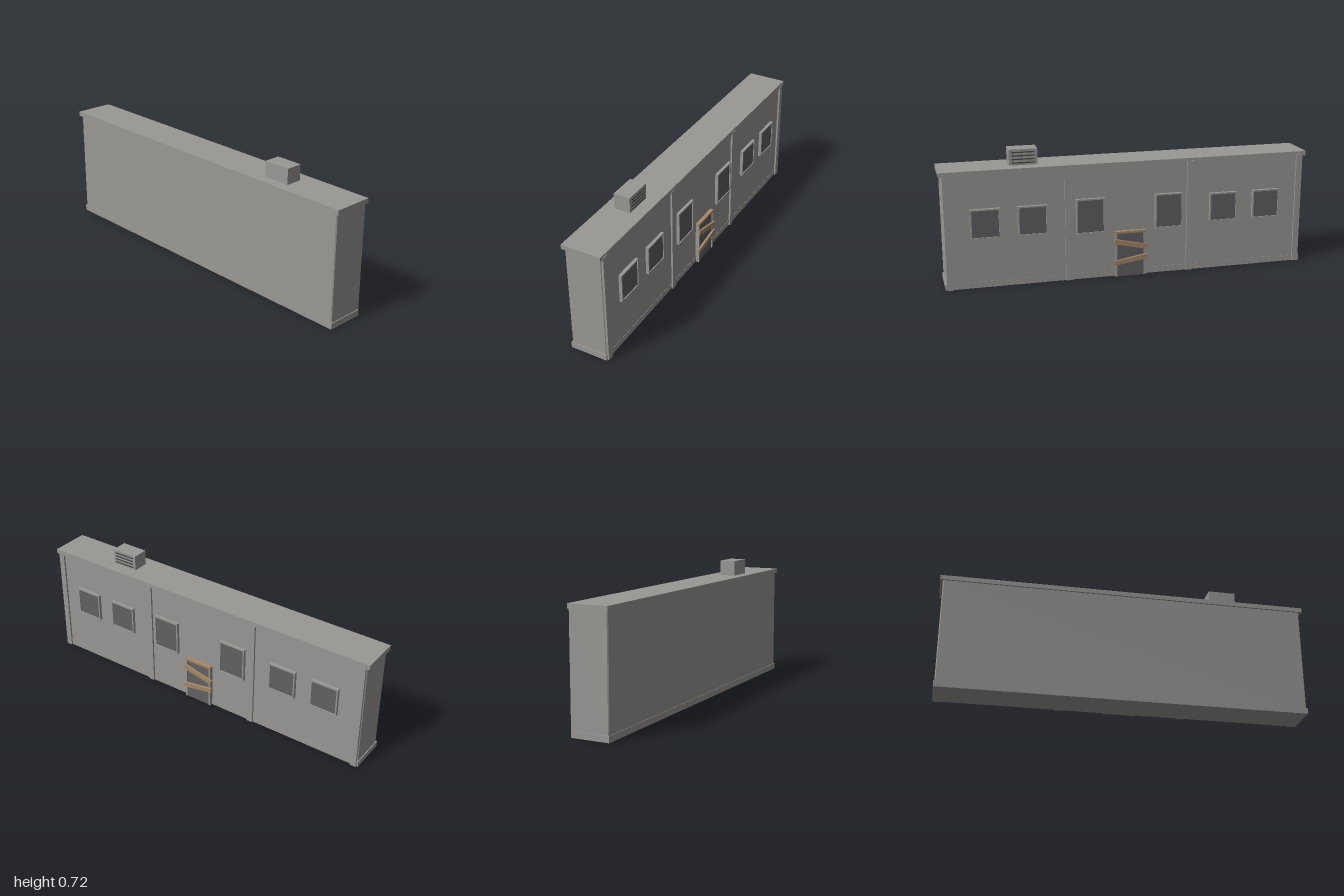
import * as THREE from 'three';

const mat = (name, color) => {
  const m = new THREE.MeshStandardMaterial({ color });
  m.name = name;
  return m;
};

export function createModel() {
  const group = new THREE.Group();
  const concrete = mat('concrete', 0x9a9895);
  const pane = mat('darkPane', 0x636062);
  const wood = mat('wood', 0xa5886a);
  const vent = mat('ventDark', 0x4a4846);

  const add = (name, geometry, material) => {
    const mesh = new THREE.Mesh(geometry, material);
    mesh.name = name;
    group.add(mesh);
    return mesh;
  };
  // box given by its min and max on each axis
  const box = (name, material, x0, x1, y0, y1, z0, z1) => {
    const mesh = add(name, new THREE.BoxGeometry(x1 - x0, y1 - y0, z1 - z0), material);
    mesh.position.set((x0 + x1) / 2, (y0 + y1) / 2, (z0 + z1) / 2);
    return mesh;
  };
  // rectangular frame with an opening, from z0 to z1
  const frame = (name, x0, x1, y0, y1, border, z0, z1) => {
    const rect = (Type, b) => new Type([
      new THREE.Vector2(x0 + b, y0 + b), new THREE.Vector2(x1 - b, y0 + b),
      new THREE.Vector2(x1 - b, y1 - b), new THREE.Vector2(x0 + b, y1 - b),
    ]);
    const shape = rect(THREE.Shape, 0);
    shape.holes.push(rect(THREE.Path, border));
    const geo = new THREE.ExtrudeGeometry(shape, { depth: z1 - z0, bevelEnabled: false });
    add(name, geo, concrete).position.z = z0;
  };

  // main block with slightly chamfered vertical corners
  const c = 0.005, w = 0.985, front = 0.11, back = -0.09;
  const plan = new THREE.Shape([
    [-w + c, -front], [w - c, -front], [w, -front + c], [w, -back - c],
    [w - c, -back], [-w + c, -back], [-w, -back - c], [-w, -front + c],
  ].map(([x, y]) => new THREE.Vector2(x, y)));
  const walls = new THREE.ExtrudeGeometry(plan, { depth: 0.61, bevelEnabled: false });
  walls.rotateX(-Math.PI / 2);
  add('walls', walls, concrete);

  box('plinth', concrete, -0.99, 0.99, 0, 0.033, -0.0915, 0.113);
  box('roofSlab', concrete, -1, 1, 0.607, 0.632, -0.097, 0.119);

  // pilasters dividing the back wall into three bays
  for (const x of [-0.964, -0.335, 0.335, 0.964]) {
    box('pilaster', concrete, x - 0.017, x + 0.017, 0, 0.619, -0.1, -0.08);
  }

  // windows: taller pair in the middle bay
  for (const side of [-1, 1]) {
    for (const [cx, half] of [[0.216, 0.096], [0.525, 0.08], [0.772, 0.08]]) {
      const x = cx * side;
      frame('windowFrame', x - 0.078, x + 0.078, 0.35 - half, 0.35 + half, 0.008, -0.107, -0.085);
      box('windowPane', pane, x - 0.071, x + 0.071, 0.357 - half, 0.343 + half, -0.102, -0.094);
    }
  }

  // boarded door
  for (const side of [-1, 1]) {
    box('doorJamb', concrete, side * 0.078 - 0.005, side * 0.078 + 0.005, 0, 0.242, -0.11, -0.085);
  }
  box('doorLintel', wood, -0.083, 0.083, 0.242, 0.254, -0.111, -0.085);
  box('doorPanel', pane, -0.074, 0.074, 0, 0.243, -0.105, -0.097);
  for (const [y, tilt] of [[0.181, 0.22], [0.093, -0.165]]) {
    const board = box('doorBoard', wood, -0.093, 0.093, y - 0.013, y + 0.013, -0.118, -0.106);
    board.rotation.z = tilt;
  }

  // rooftop unit with vent slats at the back
  box('roofUnit', concrete, 0.48, 0.63, 0.63, 0.716, -0.027, 0.063);
  for (let i = 0; i < 4; i++) {
    const y = 0.645 + i * 0.0185;
    box('ventSlat', vent, 0.495, 0.615, y - 0.003, y + 0.003, -0.031, -0.025);
  }

  return group;
}
